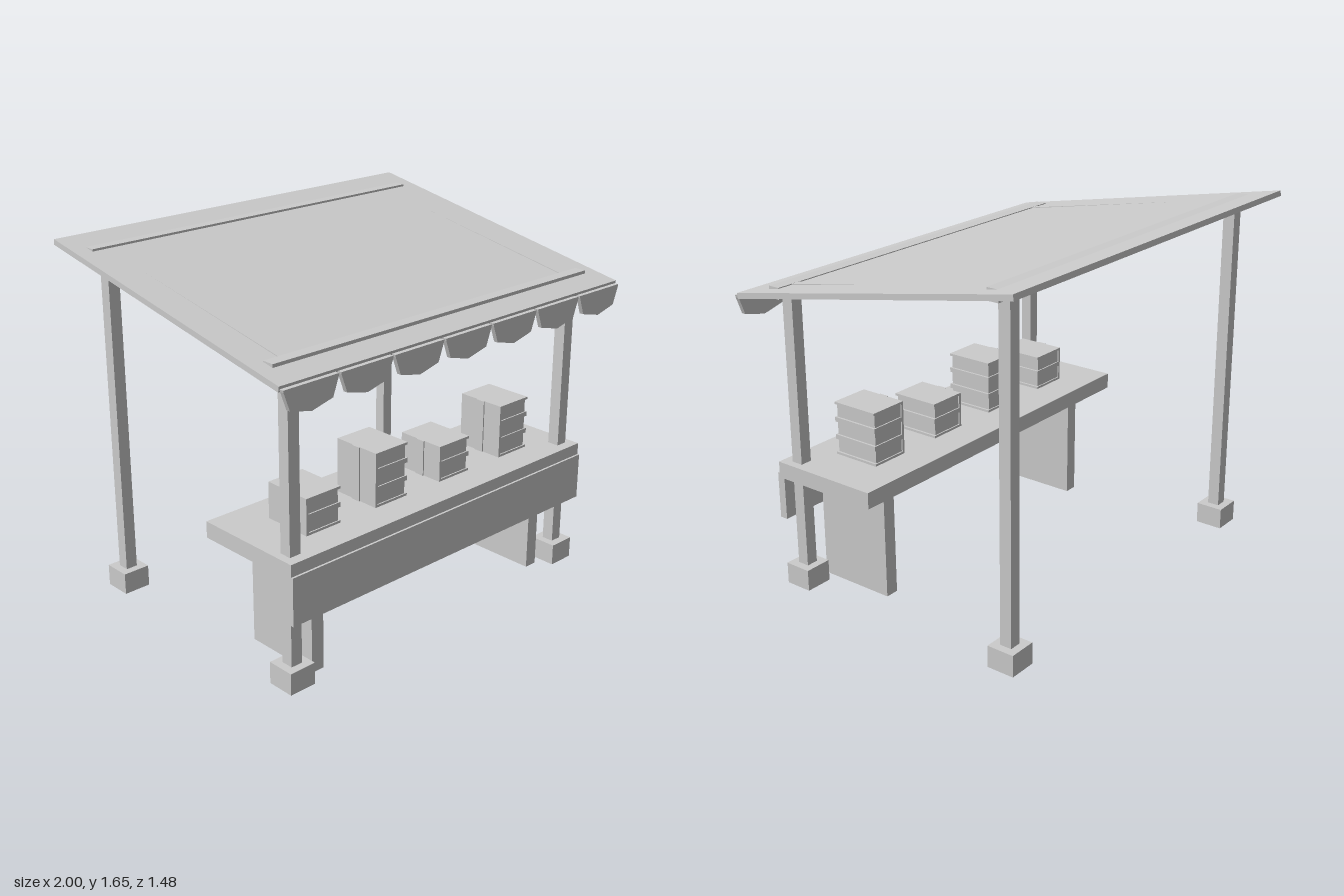
import * as THREE from 'three';

export function createModel() {
  const model = new THREE.Group();
  model.name = 'marketStall';
  const grey = new THREE.MeshStandardMaterial({ color: 0xcccccc });
  grey.name = 'plain grey';

  // Box given by its lower and upper bounds on each axis
  function box(name, [x0, x1], [y0, y1], [z0, z1], parent = model) {
    const mesh = new THREE.Mesh(new THREE.BoxGeometry(x1 - x0, y1 - y0, z1 - z0), grey);
    mesh.position.set((x0 + x1) / 2, (y0 + y1) / 2, (z0 + z1) / 2);
    mesh.name = name;
    parent.add(mesh);
    return mesh;
  }

  // Sloping box laid between a front and a back point (z, y)
  function slope(name, x, width, thick, [z0, y0], [z1, y1]) {
    const mesh = new THREE.Mesh(
      new THREE.BoxGeometry(width, thick, Math.hypot(z1 - z0, y1 - y0)), grey);
    mesh.position.set(x, (y0 + y1) / 2, (z0 + z1) / 2);
    mesh.rotation.x = Math.atan2(y1 - y0, z0 - z1);
    mesh.name = name;
    model.add(mesh);
  }

  // Posts with foot blocks, and a cross beam over each pair
  for (const [end, z, beamY] of [['front', 0.572, 1.395], ['back', -0.585, 1.605]]) {
    for (const x of [-0.83, 0.83]) {
      box(end + 'Post', [x - 0.028, x + 0.028], [0.05, beamY], [z - 0.028, z + 0.028]);
      box(end + 'Foot', [x - 0.065, x + 0.065], [0, 0.1], [z - 0.065, z + 0.065]);
    }
    box(end + 'Beam', [-0.927, 0.927], [beamY - 0.026, beamY + 0.026], [z - 0.028, z + 0.028]);
  }

  // Sloping rafters and roof sheet
  for (const x of [-0.832, 0.832]) slope('rafter', x, 0.042, 0.04, [0.572, 1.395], [-0.585, 1.605]);
  slope('roof', 0, 2, 0.025, [0.717, 1.372], [-0.737, 1.642]);

  // Scalloped valance along the front edge
  const pitch = 2 / 7;
  const scallop = new THREE.Shape([
    [-0.138, 1.372], [-0.136, 1.362], [-0.107, 1.283], [0, 1.257],
    [0.107, 1.283], [0.136, 1.362], [0.138, 1.372],
  ].map(([x, y]) => new THREE.Vector2(x, y)));
  const scallopGeometry = new THREE.ExtrudeGeometry(scallop, { depth: 0.02, bevelEnabled: false });
  for (let i = -3; i <= 3; i++) {
    const flap = new THREE.Mesh(scallopGeometry, grey);
    flap.position.set(i * pitch, 0, 0.717);
    flap.name = 'valanceScallop';
    model.add(flap);
  }

  // Counter with front skirt and panel legs
  box('counterTop', [-0.895, 0.895], [0.522, 0.597], [0.115, 0.648]);
  box('counterSkirt', [-0.895, 0.895], [0.325, 0.542], [0.62, 0.658]);
  for (const x of [-0.687, 0.687]) box('counterLeg', [x - 0.032, x + 0.032], [0, 0.53], [0.193, 0.568]);

  // Stacks of books, spines towards -x
  const layer = 0.083;
  [[-0.692, 2], [-0.302, 3], [0.09, 2], [0.485, 3]].forEach(([x, count]) => {
    const stack = new THREE.Group();
    stack.name = 'bookStack';
    model.add(stack);
    for (let i = 0; i < count; i++) {
      const y = 0.598 + i * layer;
      box('lowerCover', [x + 0.006, x + 0.194], [y, y + 0.011], [0.27, 0.505], stack);
      box('pages', [x + 0.015, x + 0.184], [y + 0.011, y + layer - 0.011], [0.276, 0.499], stack);
      box('upperCover', [x + 0.006, x + 0.194], [y + layer - 0.011, y + layer], [0.27, 0.505], stack);
      box('spine', [x + 0.006, x + 0.018], [y + 0.011, y + layer - 0.011], [0.27, 0.505], stack);
      box('spineBand', [x, x + 0.008], [y, y + layer], [0.365, 0.41], stack);
    }
  });

  return model;
}
